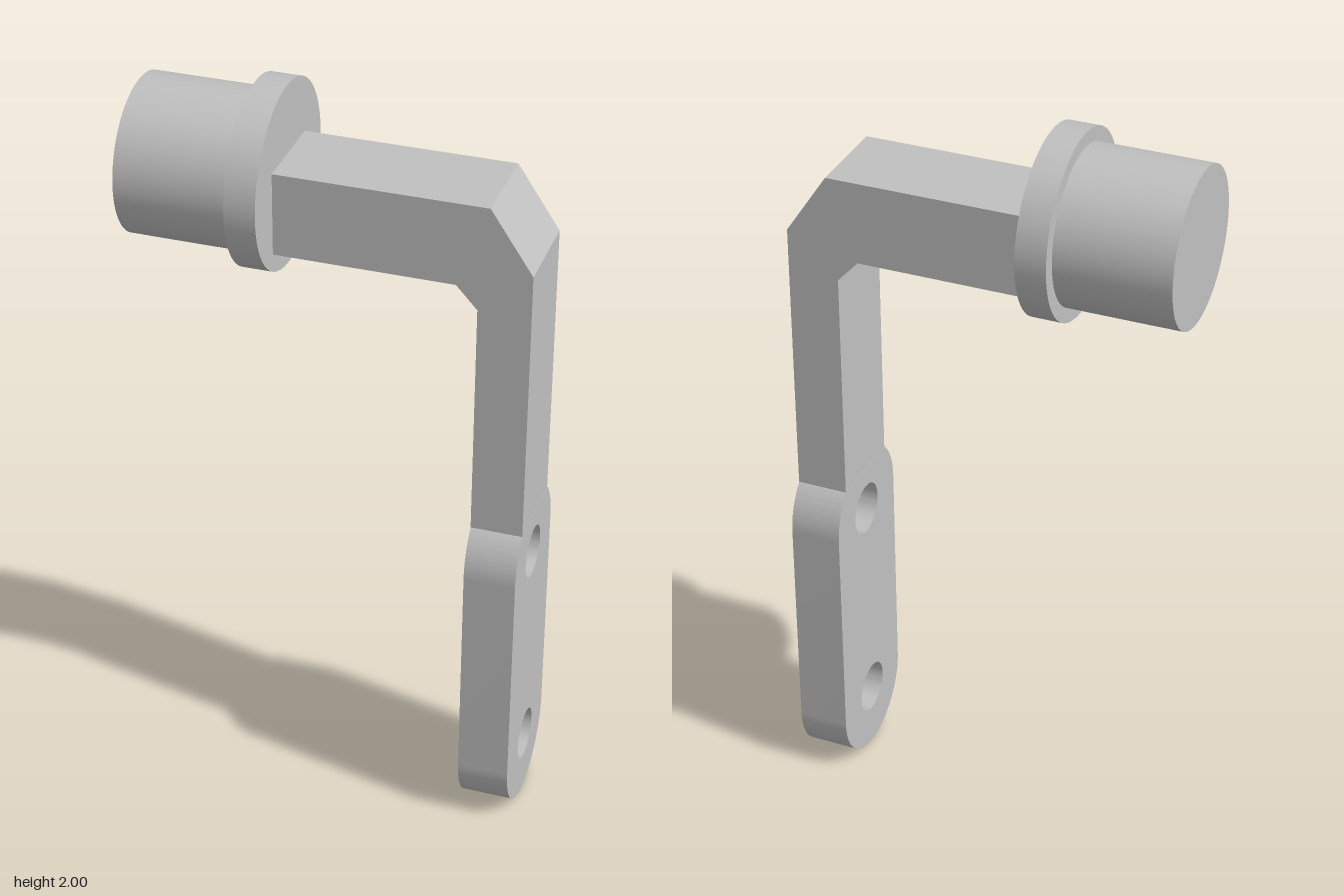
import * as THREE from 'three';
import { mergeGeometries, toCreasedNormals } from 'three/addons/utils/BufferGeometryUtils.js';

const AXIS_Y = 1.76; // height of the knob axis
const DRUM_R = 0.203;

// Grid surface from a rule; the normal points along Pu x Pv
function surface(nu, nv, rule) {
  const g = new THREE.PlaneGeometry(1, 1, nu, nv);
  const p = g.attributes.position;
  for (let i = 0; i < p.count; i++) {
    p.setXYZ(i, ...rule(p.getX(i) + 0.5, p.getY(i) + 0.5));
  }
  return g;
}

// Point on the drum: x along the axis, a measured from the underside
const onDrum = (x, a) => [x, AXIS_Y - DRUM_R * Math.cos(a), DRUM_R * Math.sin(a)];

function drumGeometry() {
  const x0 = -0.52, x1 = -0.22, half = 0.135, hx = x1 - half, hr = 0.045;
  const A = half / DRUM_R, floorY = AXIS_Y - 0.06;
  // Side wall, leaving a square window underneath
  const wall = surface(1, 72, (u, v) => onDrum(x0 + (x1 - x0) * u, A + (2 * Math.PI - 2 * A) * v));
  const strip = surface(1, 16, (u, v) => onDrum(x0 + (hx - half - x0) * u, A * (2 * v - 1)));
  // Window filled by a patch that runs from the round hole to the square edge
  const patch = surface(8, 64, (s, v) => {
    const t = v * 2 * Math.PI, c = Math.cos(t), n = Math.sin(t);
    const edge = half / Math.max(Math.abs(c), Math.abs(n));
    const r = hr + (edge - hr) * s;
    return onDrum(hx + r * c, (r * n) / DRUM_R);
  });
  // Radial screw hole
  const bore = surface(1, 64, (u, v) => {
    const t = v * 2 * Math.PI;
    const rim = onDrum(hx + hr * Math.cos(t), (hr * Math.sin(t)) / DRUM_R);
    return [rim[0], floorY + (rim[1] - floorY) * u, rim[2]];
  });
  const boreFloor = new THREE.CircleGeometry(hr, 64).rotateX(Math.PI / 2).translate(hx, floorY, 0);
  const cap = new THREE.CircleGeometry(DRUM_R, 72).rotateY(-Math.PI / 2).translate(x0, AXIS_Y, 0);
  return toCreasedNormals(mergeGeometries([wall, strip, patch, bore, boreFloor, cap]), 0.6);
}

// Bent arm: side profile extruded across z
function armGeometry() {
  const profile = [
    [-0.14, 1.6], [0.325, 1.6], [0.38, 1.54], [0.38, 0.905],
    [0.515, 0.905], [0.515, 1.655], [0.405, 1.82], [-0.14, 1.82],
  ].map(([x, y]) => new THREE.Vector2(x, y));
  const depth = 0.242;
  return new THREE.ExtrudeGeometry(new THREE.Shape(profile), { depth, bevelEnabled: false })
    .translate(0, 0, -depth / 2);
}

// Rounded mounting plate with two bolt holes
function plateGeometry() {
  const r = 0.173, low = 0.173, high = 0.78;
  const a = Math.acos(0.121 / r);
  const shape = new THREE.Shape();
  shape.absarc(0, low, r, Math.PI, 2 * Math.PI, false);
  shape.absarc(0, high, r, 0, a, false);
  shape.absarc(0, high, r, Math.PI - a, Math.PI, false);
  shape.closePath();
  for (const y of [0.18, 0.78]) {
    shape.holes.push(new THREE.Path().absarc(0, y, 0.07, 0, 2 * Math.PI, true));
  }
  const g = new THREE.ExtrudeGeometry(shape, { depth: 0.135, bevelEnabled: false, curveSegments: 32 });
  return toCreasedNormals(g.rotateY(Math.PI / 2).translate(0.38, 0, 0), 0.5);
}

export function createModel() {
  const metal = new THREE.MeshStandardMaterial({ color: 0xc0c0c0 });
  metal.name = 'grey metal';
  const group = new THREE.Group();
  group.name = 'crankBracket';
  const flange = new THREE.CylinderGeometry(0.241, 0.241, 0.08, 72)
    .rotateZ(Math.PI / 2).translate(-0.18, AXIS_Y, 0);
  const parts = {
    drum: drumGeometry(),
    flange,
    bentArm: armGeometry(),
    mountingPlate: plateGeometry(),
  };
  for (const [name, geometry] of Object.entries(parts)) {
    const mesh = new THREE.Mesh(geometry, metal);
    mesh.name = name;
    group.add(mesh);
  }
  return group;
}
